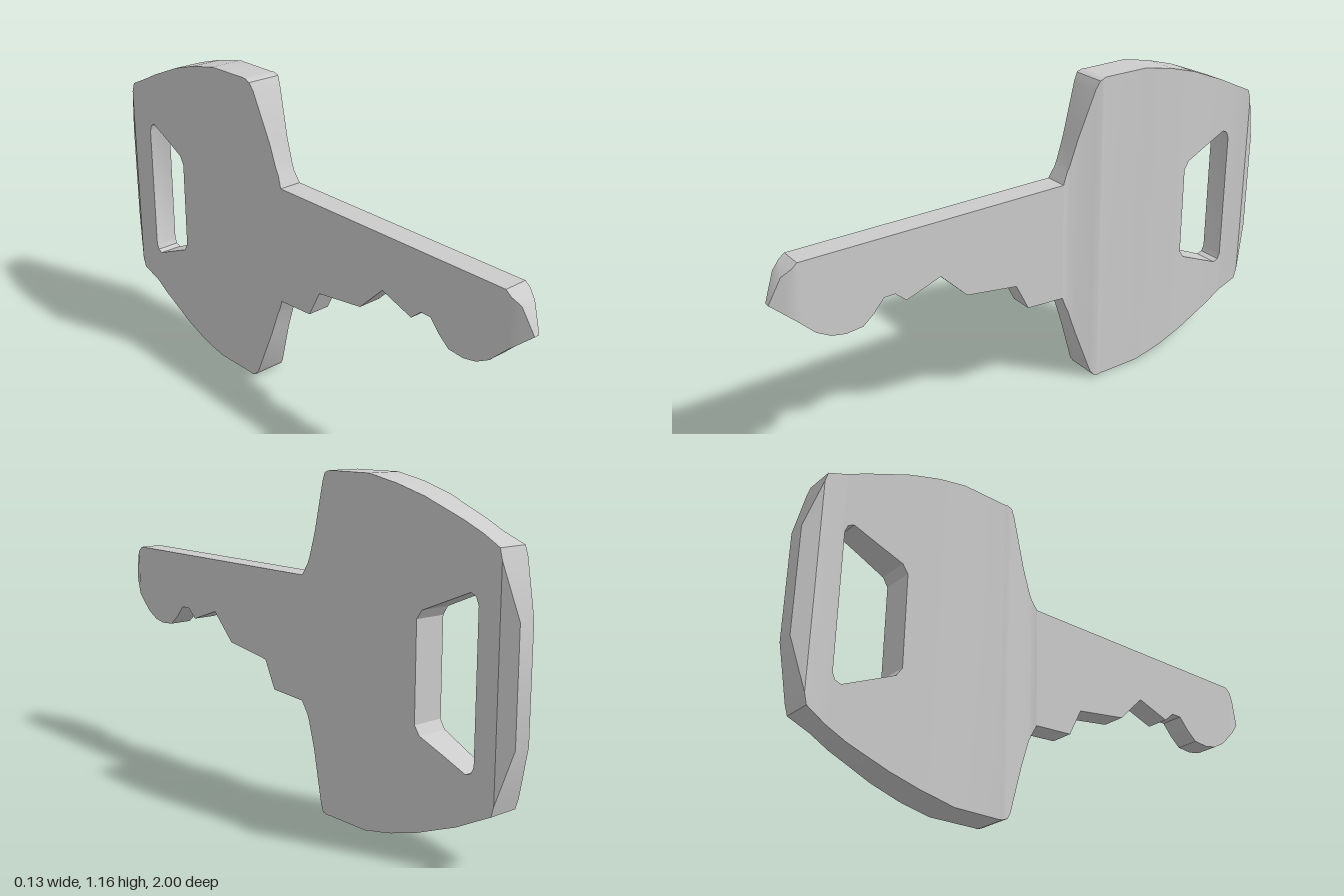
import * as THREE from 'three';
import { toCreasedNormals } from 'three/addons/utils/BufferGeometryUtils.js';

// Outlines as [z, y], running from the tip (z = 1) to the back of the bow (z = -1)
const TOP = [[1, .67], [.96, .76], [.91, .8], [-.08, .8], [-.11, .86], [-.2, 1.12], [-.215, 1.148], [-.235, 1.156],
  [-.42, 1.156], [-.54, 1.132], [-.65, 1.1], [-.8, 1.04], [-.94, .975], [-1, .77]];
const BOTTOM = [[1, .67], [.93, .61], [.87, .55], [.82, .522], [.77, .512], [.71, .517], [.67, .55], [.63, .595],
  [.59, .595], [.55, .56], [.42, .605], [.32, .505], [.12, .475], [.07, .375], [-.08, .365], [-.11, .3],
  [-.2, .03], [-.215, .008], [-.235, 0], [-.42, 0], [-.54, .025], [-.65, .058], [-.8, .117], [-.94, .19], [-1, .4]];
// Half thickness as [z, x]
const WIDTH = [[1, .01], [.93, .043], [-.08, .043], [-.1, .036], [-.14, .04], [-.22, .065], [-.25, .06], [-.5, .064],
  [-.62, .059], [-.75, .05], [-.87, .044], [-.95, .056], [-1, .03]];
// Keyring hole
const HOLE_TOP = [[-.63, .73], [-.65, .76], [-.83, .835], [-.85, .825], [-.86, .8]];
const HOLE_BOTTOM = [[-.63, .4], [-.65, .37], [-.83, .29], [-.85, .298], [-.86, .32]];

// Piecewise linear lookup along descending z
function at(line, z) {
  for (let i = 1; i < line.length; i++) {
    const [z0, v0] = line[i - 1], [z1, v1] = line[i];
    if (z >= z1) return v0 + (v1 - v0) * Math.min(1, Math.max(0, (z0 - z) / (z0 - z1)));
  }
  return line[line.length - 1][1];
}

function quad(out, a, b, c, d) {
  out.push(...a, ...b, ...c, ...a, ...c, ...d);
}

// Four-cornered cross-section at z
function ring(z, top, bottom) {
  const w = at(WIDTH, z), t = at(top, z), b = at(bottom, z);
  return [[w, b, z], [w, t, z], [-w, t, z], [-w, b, z]];
}

// Open-ended skin between two outlines, from zStart back to zEnd
function loft(out, zStart, zEnd, top, bottom) {
  const zs = [zStart, zEnd, ...[...top, ...bottom, ...WIDTH].map(p => p[0])]
    .filter(z => z <= zStart && z >= zEnd).sort((a, b) => b - a);
  const stations = [...new Set(zs)];
  for (let i = 1; i < stations.length; i++) {
    const r0 = ring(stations[i - 1], top, bottom), r1 = ring(stations[i], top, bottom);
    for (let k = 0; k < 4; k++) {
      const n = (k + 1) % 4;
      quad(out, r0[k], r1[k], r1[n], r0[n]);
    }
  }
}

// Flat wall across the thickness, facing back or front
function wall(out, z, top, bottom, facesBack) {
  const [a, b, c, d] = ring(z, top, bottom);
  if (facesBack) quad(out, a, d, c, b);
  else quad(out, a, b, c, d);
}

function part(name, build) {
  const positions = [];
  build(positions);
  const geometry = new THREE.BufferGeometry();
  geometry.setAttribute('position', new THREE.Float32BufferAttribute(positions, 3));
  const mesh = new THREE.Mesh(toCreasedNormals(geometry, 0.55),
    new THREE.MeshStandardMaterial({ color: 0xcccccc }));
  mesh.name = name;
  return mesh;
}

export function createModel() {
  const key = new THREE.Group();
  key.name = 'key';

  // Toothed blade with a wedge tip
  key.add(part('blade', out => loft(out, 1, -.08, TOP, BOTTOM)));

  // Bow: solid front, two bars around the hole, and the back rim
  key.add(part('bow', out => {
    loft(out, -.08, -.63, TOP, BOTTOM);
    wall(out, -.63, HOLE_TOP, HOLE_BOTTOM, true);
    loft(out, -.63, -.86, TOP, HOLE_TOP);
    loft(out, -.63, -.86, HOLE_BOTTOM, BOTTOM);
    wall(out, -.86, HOLE_TOP, HOLE_BOTTOM, false);
    loft(out, -.86, -1, TOP, BOTTOM);
    wall(out, -1, TOP, BOTTOM, true);
  }));

  return key;
}
